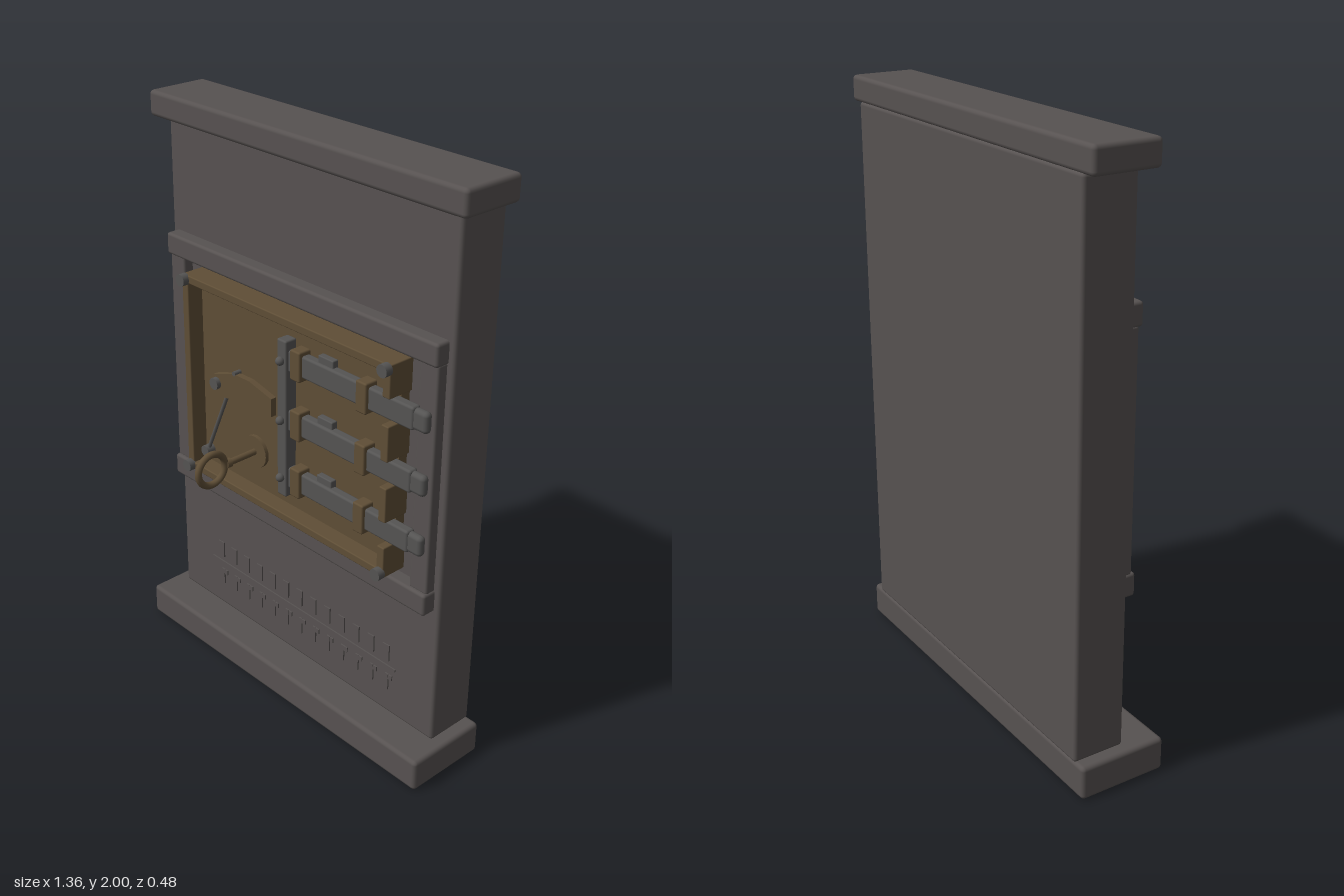
import * as THREE from 'three';
import { RoundedBoxGeometry } from 'three/addons/geometries/RoundedBoxGeometry.js';

export function createModel() {
  const root = new THREE.Group();
  root.name = 'vaultDoorSlab';
  const mat = (name, color) => {
    const m = new THREE.MeshStandardMaterial({ color });
    m.name = name;
    return m;
  };
  const stone = mat('darkStone', 0x575251);
  const iron = mat('iron', 0x555453);
  const bronze = mat('bronze', 0x5f4e36);

  const add = (name, geo, material, parent = root) => {
    const m = new THREE.Mesh(geo, material);
    m.name = name;
    parent.add(m);
    return m;
  };
  // Box given by its extents, with optional rounded edges
  const box = (name, material, x0, x1, y0, y1, z0, z1, r = 0, parent = root) => {
    const s = [x1 - x0, y1 - y0, z1 - z0];
    const g = r ? new RoundedBoxGeometry(...s, 2, r) : new THREE.BoxGeometry(...s);
    g.translate((x0 + x1) / 2, (y0 + y1) / 2, (z0 + z1) / 2);
    return add(name, g, material, parent);
  };
  // Round peg facing the front
  const peg = (name, material, x, y, z0, z1, r, parent = root) => {
    const g = new THREE.CylinderGeometry(r, r, z1 - z0, 20);
    g.rotateX(Math.PI / 2).translate(x, y, (z0 + z1) / 2);
    return add(name, g, material, parent);
  };

  // Slab, cap and plinth
  box('slab', stone, -0.638, 0.635, 0.11, 1.92, -0.24, -0.06, 0.012);
  box('cap', stone, -0.682, 0.682, 1.915, 2.0, -0.24, -0.015, 0.014);
  box('plinth', stone, -0.682, 0.682, 0, 0.115, -0.24, 0.066, 0.014);

  // Door frame
  box('frameTop', stone, -0.615, 0.612, 1.46, 1.535, -0.07, -0.012, 0.01);
  box('frameBottom', stone, -0.615, 0.612, 0.612, 0.69, -0.07, -0.012, 0.01);
  box('frameLeft', stone, 0.535, 0.608, 0.685, 1.465, -0.07, -0.025, 0.008);
  box('frameRight', stone, -0.613, -0.54, 0.685, 1.465, -0.07, -0.025, 0.008);

  // Recessed door with raised rim, notched where the bolts pass
  const door = new THREE.Group();
  door.name = 'door';
  root.add(door);
  const boltYs = [0.865, 1.075, 1.285];
  box('doorPanel', bronze, -0.475, 0.47, 0.715, 1.435, -0.065, -0.025, 0, door);
  box('rimTop', bronze, -0.48, 0.478, 1.412, 1.44, -0.065, 0.034, 0.004, door);
  box('rimBottom', bronze, -0.48, 0.478, 0.71, 0.738, -0.065, 0.034, 0.004, door);
  box('rimRight', bronze, -0.48, -0.45, 0.73, 1.42, -0.065, 0.034, 0.004, door);
  const edges = [0.73, ...boltYs.flatMap((y) => [y - 0.045, y + 0.045]), 1.42];
  for (let i = 0; i < edges.length; i += 2)
    box('rimLeft', bronze, 0.448, 0.478, edges[i], edges[i + 1], -0.065, 0.034, 0.004, door);
  for (const x of [-0.464, 0.463]) for (const y of [0.726, 1.424])
    peg('cornerScrew', iron, x, y, 0.03, 0.056, 0.021, door);

  // Sliding bolts with guides, joined by an upright bar
  const bolts = new THREE.Group();
  bolts.name = 'bolts';
  root.add(bolts);
  box('uprightBar', iron, -0.025, 0.018, 0.795, 1.355, -0.025, 0.022, 0.006, bolts);
  for (const y of boltYs) {
    box('bolt', iron, 0.01, 0.55, y - 0.038, y + 0.038, -0.024, 0.01, 0.008, bolts);
    box('boltTip', iron, 0.53, 0.6, y - 0.036, y + 0.034, -0.024, 0.006, 0.014, bolts);
    box('boltLug', iron, 0.14, 0.207, y + 0.03, y + 0.062, -0.024, 0.0, 0.004, bolts);
    for (const x of [0.035, 0.325])
      box('boltGuide', bronze, x, x + 0.045, y - 0.052, y + 0.052, -0.03, 0.022, 0.006, bolts);
    const rivet = add('barRivet', new THREE.SphereGeometry(0.015, 14, 10), iron, bolts);
    rivet.position.set(-0.003, y, 0.028);
  }

  // Pivoting latch plate and its rod
  const latch = new THREE.Group();
  latch.name = 'latch';
  root.add(latch);
  const outline = [[-0.375, 1.022], [-0.26, 1.042], [-0.075, 1.05], [-0.075, 1.115],
    [-0.185, 1.14], [-0.262, 1.138], [-0.37, 1.1]].map((p) => new THREE.Vector2(...p));
  const plate = new THREE.ExtrudeGeometry(new THREE.Shape(outline), { depth: 0.022, bevelEnabled: false });
  plate.translate(0, 0, -0.02);
  add('latchPlate', plate, bronze, latch);
  peg('latchPivot', iron, -0.35, 1.075, 0, 0.018, 0.021, latch);
  const rodPath = new THREE.LineCurve3(new THREE.Vector3(-0.31, 1.035, -0.008), new THREE.Vector3(-0.42, 0.785, -0.008));
  add('latchRod', new THREE.TubeGeometry(rodPath, 1, 0.007, 10), iron, latch);
  peg('rodEnd', iron, -0.42, 0.785, -0.025, 0.008, 0.02, latch);
  peg('latchStop', iron, -0.26, 1.14, -0.025, 0.004, 0.008, latch);

  // Ring handle on a shaft
  const handle = new THREE.Group();
  handle.name = 'ringHandle';
  root.add(handle);
  peg('handleRose', bronze, -0.177, 0.875, -0.03, -0.012, 0.058, handle);
  peg('handleShaft', bronze, -0.177, 0.875, -0.02, 0.118, 0.011, handle);
  peg('handleCollar', bronze, -0.177, 0.875, 0.095, 0.115, 0.016, handle);
  const ring = new THREE.TorusGeometry(0.056, 0.012, 12, 36);
  ring.rotateY(Math.PI / 2).translate(-0.177, 0.875, 0.174);
  add('handleRing', ring, bronze, handle);

  // Shallow ornamental border: a line with rows of plain hooked notches
  const ornament = new THREE.Group();
  ornament.name = 'ornament';
  root.add(ornament);
  box('ornamentLine', stone, -0.47, 0.465, 0.295, 0.303, -0.062, -0.055, 0, ornament);
  for (let i = 0; i < 13; i++) {
    const x = -0.412 + i * 0.07;
    for (const [y, side] of [[0.353, -1], [0.238, 1]]) {
      box('notchStem', stone, x - 0.007, x + 0.007, y - 0.031, y + 0.031, -0.062, -0.055, 0, ornament);
      const cx = x + side * 0.012;
      box('notchHook', stone, cx - 0.011, cx + 0.011, y + 0.012, y + 0.03, -0.062, -0.0555, 0, ornament);
    }
  }
  return root;
}
